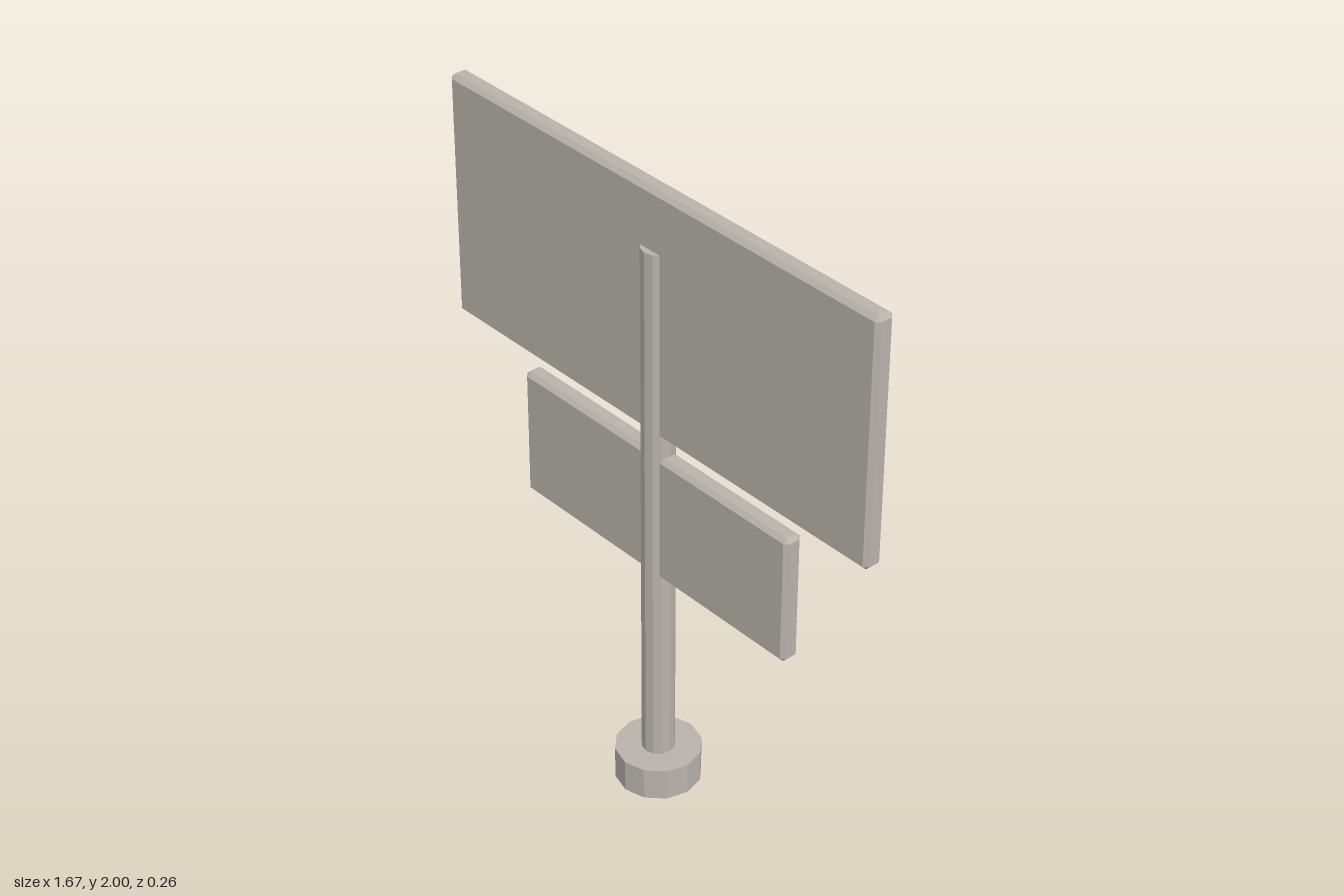
import * as THREE from 'three';
import { ConvexGeometry } from 'three/addons/geometries/ConvexGeometry.js';

// Box with a flat chamfer c along every edge
function chamferedBox(w, h, d, c) {
  const points = [];
  for (const sx of [-1, 1]) for (const sy of [-1, 1]) for (const sz of [-1, 1]) {
    for (let axis = 0; axis < 3; axis++) {
      const half = [w / 2, h / 2, d / 2].map((v, i) => (i === axis ? v : v - c));
      points.push(new THREE.Vector3(sx * half[0], sy * half[1], sz * half[2]));
    }
  }
  return new ConvexGeometry(points);
}

export function createModel() {
  const group = new THREE.Group();
  const concrete = new THREE.MeshStandardMaterial({ color: 0xb8b3ab });
  concrete.name = 'warm grey';

  // Low-poly parts keep flat facets
  const add = (name, geometry, y) => {
    const flat = geometry.index ? geometry.toNonIndexed() : geometry;
    flat.computeVertexNormals();
    const mesh = new THREE.Mesh(flat, concrete);
    mesh.name = name;
    mesh.position.y = y;
    group.add(mesh);
  };

  // Foot and post
  add('base', new THREE.CylinderGeometry(0.13, 0.13, 0.105, 12), 0.0525);
  add('post', new THREE.CylinderGeometry(0.05, 0.05, 1.755, 12), 0.9375);

  // Sign boards
  add('upperBoard', chamferedBox(1.675, 0.77, 0.06, 0.013), 1.615);
  add('lowerBoard', chamferedBox(1.09, 0.415, 0.06, 0.013), 0.9575);

  return group;
}
